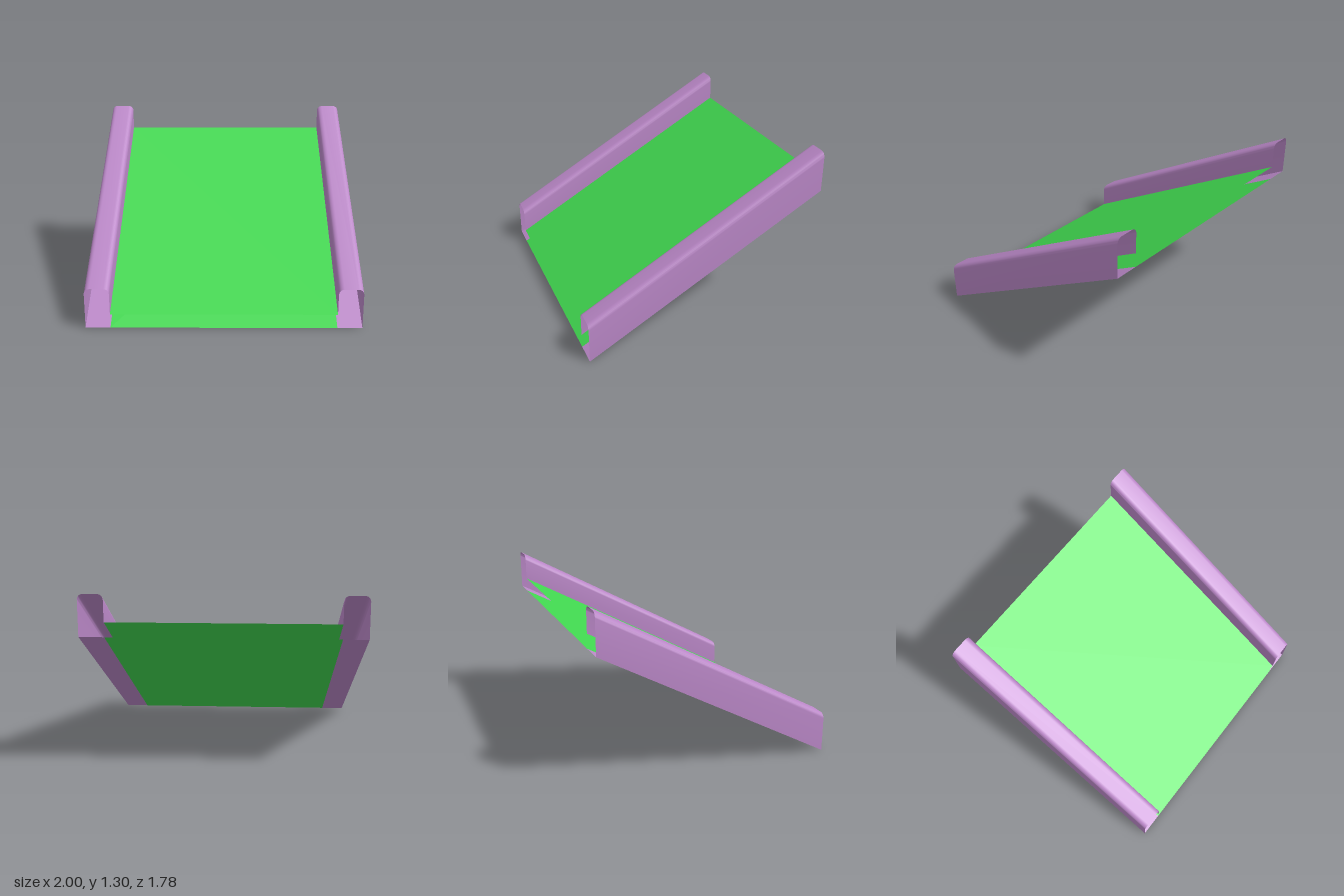
import * as THREE from 'three';
import { toCreasedNormals } from 'three/addons/utils/BufferGeometryUtils.js';

const HALF = 0.89;   // half length along z
const RISE = 1.0;    // height gained from front to back
const INNER = 0.82;  // inner face of the side rails
const DECK = 0.105;  // deck height above the underside
const RAIL = 0.3;    // rail height above the underside
const R = 0.04;      // rounding of the rail's top edges

// Sweep an open cross-section (clockwise, seen from the front) up the slope
function sweep(points) {
  const positions = [];
  const index = [];
  points.forEach(([x, y], i) => {
    positions.push(x, y, HALF, x, y + RISE, -HALF);
    if (i > 0) {
      const a = 2 * (i - 1);
      index.push(a, a + 2, a + 1, a + 2, a + 3, a + 1);
    }
  });
  const geometry = new THREE.BufferGeometry();
  geometry.setAttribute('position', new THREE.Float32BufferAttribute(positions, 3));
  geometry.setIndex(index);
  geometry.computeVertexNormals();
  return toCreasedNormals(geometry, 0.7);
}

// Quarter circle from angle a0, turning clockwise
function corner(cx, cy, a0, steps = 6) {
  return Array.from({ length: steps + 1 }, (_, i) => {
    const a = a0 - (i / steps) * Math.PI / 2;
    return [cx + R * Math.cos(a), cy + R * Math.sin(a)];
  });
}

export function createModel() {
  const purple = new THREE.MeshStandardMaterial({ color: 0xbb88c8, side: THREE.DoubleSide });
  purple.name = 'railPurple';
  const green = new THREE.MeshStandardMaterial({ color: 0x41d850, side: THREE.DoubleSide });
  green.name = 'deckGreen';

  const ramp = new THREE.Group();
  ramp.name = 'ramp';
  const add = (name, points, material) => {
    const mesh = new THREE.Mesh(sweep(points), material);
    mesh.name = name;
    ramp.add(mesh);
  };

  // Hollow rail: inner wall, rounded top, outer wall and underside, open at both ends
  const rail = [
    [INNER, DECK],
    ...corner(INNER + R, RAIL - R, Math.PI),
    ...corner(1 - R, RAIL - R, Math.PI / 2),
    [1, 0],
    [INNER, 0],
  ];
  add('leftRail', rail, purple);
  add('rightRail', rail.map(([x, y]) => [-x, y]).reverse(), purple);

  // Deck sheet and underside sheet between the rails
  add('deck', [[-INNER, DECK], [INNER, DECK]], green);
  add('underside', [[INNER, 0], [-INNER, 0]], green);

  return ramp;
}
